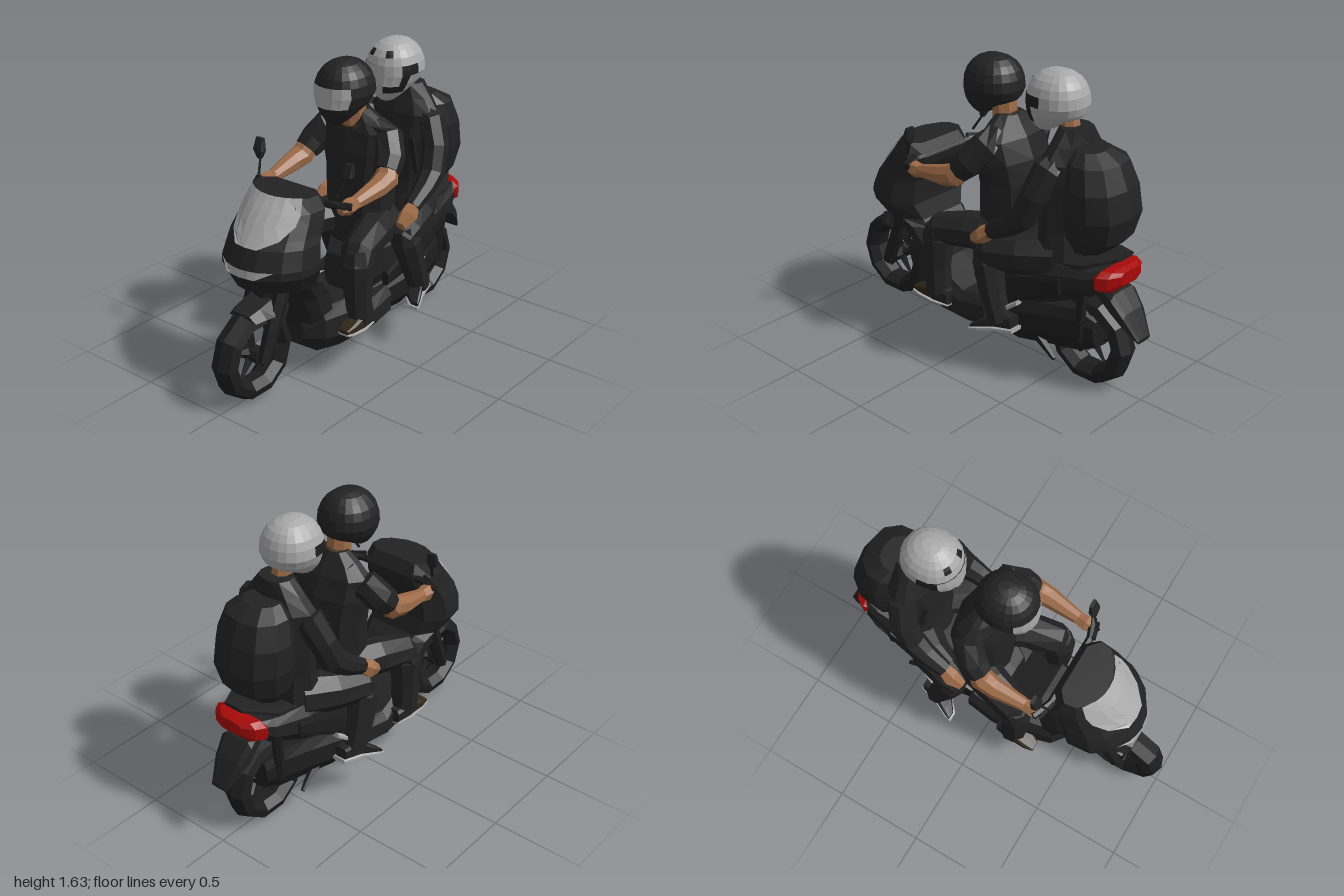
import * as THREE from 'three';

const V = (x, y, z) => new THREE.Vector3(x, y, z);
const paint = (name, color) => Object.assign(new THREE.MeshStandardMaterial({ color }), { name });

export function createModel() {
  const root = new THREE.Group();
  const black = paint('black', 0x222222), dark = paint('darkRubber', 0x1d1d1d);
  const skin = paint('skin', 0x9c6a47), grey = paint('lightGrey', 0xa8a8a8);
  const red = paint('tailRed', 0xa80808), brown = paint('darkBrown', 0x30261a);

  // faceted mesh
  const add = (name, geo, mat, parent = root) => {
    const g = geo.index ? geo.toNonIndexed() : geo;
    g.computeVertexNormals();
    const m = new THREE.Mesh(g, mat);
    m.name = name;
    parent.add(m);
    return m;
  };

  // closed skin over a list of rings, always facing outward
  const loft = rings => {
    const n = rings[0].length, pts = rings.flat(), idx = [];
    for (let r = 0; r + 1 < rings.length; r++) for (let i = 0; i < n; i++) {
      const a = r * n + i, b = r * n + (i + 1) % n;
      idx.push(a, b, a + n, b, b + n, a + n);
    }
    [0, rings.length - 1].forEach((r, k) => {
      const c = pts.length;
      pts.push(rings[r].reduce((s, p) => s.add(p), V(0, 0, 0)).divideScalar(n));
      for (let i = 0; i < n; i++) {
        const a = r * n + i, b = r * n + (i + 1) % n;
        k ? idx.push(c, a, b) : idx.push(c, b, a);
      }
    });
    let vol = 0;
    for (let i = 0; i < idx.length; i += 3)
      vol += pts[idx[i]].dot(V(0, 0, 0).crossVectors(pts[idx[i + 1]], pts[idx[i + 2]]));
    if (vol < 0) idx.reverse();
    const g = new THREE.BufferGeometry().setFromPoints(pts);
    g.setIndex(idx);
    return g;
  };

  // half outlines, mirrored into full rings
  const whole = h => [...h, ...h.slice(1, -1).reverse().map(([u, v]) => [-u, v])];
  const ROUND = whole([[0, 1], [.6, .82], [.95, .4], [1, -.1], [.75, -.75], [0, -1]]);
  const BOXY = whole([[0, 1], [.75, .95], [1, .55], [1, -.55], [.75, -.95], [0, -1]]);
  const HULL = whole([[0, 1], [.85, .95], [1, .5], [1, -.3], [.68, -.95], [0, -1]]);
  const PACK = whole([[0, 1], [.8, 1], [1, .5], [.95, -.2], [.62, -.82], [0, -1]]);
  const FRONT = [[0, 1], [.32, .94], [.74, .58], [.96, .15], [1, -.5], [.7, -1], [0, -1]];

  // sections are [position, low, high, halfWidth, centreX]
  const stack = (axis, secs, tpl) => loft(secs.map(([t, lo, hi, w, cx = 0]) => tpl.map(([u, v]) => {
    const x = cx + u * w, q = (lo + hi) / 2 + v * (hi - lo) / 2;
    return axis === 'y' ? V(x, t, q) : V(x, q, t);
  })));

  // limb along points [x, y, z, radius]
  const limb = (path, s = 1, n = 8) => {
    const p = path.map(([x, y, z]) => V(x * s, y, z));
    return loft(p.map((c, i) => {
      const d = p[Math.min(i + 1, p.length - 1)].clone().sub(p[Math.max(i - 1, 0)]).normalize();
      const a = V(0, 0, 0).crossVectors(d, Math.abs(d.x) > .9 ? V(0, 1, 0) : V(1, 0, 0)).normalize();
      const b = V(0, 0, 0).crossVectors(d, a);
      return Array.from({ length: n }, (_, k) => {
        const t = k / n * Math.PI * 2 + .3;
        return c.clone().addScaledVector(a, Math.cos(t) * path[i][3]).addScaledVector(b, Math.sin(t) * path[i][3]);
      });
    }));
  };

  // front fairing with windscreen and headlight laid on its surface
  const fair = [[.28, .25, .46, .18], [.5, .3, .57, .19], [.585, .36, .64, .2], [.62, .4, .78, .21],
    [.71, .43, .825, .265], [.752, .43, .82, .265], [.85, .42, .775, .25], [.89, .4, .745, .24],
    [.95, .37, .7, .23], [1, .36, .66, .22], [1.07, .4, .595, .19]];
  add('frontFairing', stack('y', fair, whole(FRONT)), black);
  const strip = rows => {
    const cols = [-1, -.6, -.3, 0, .3, .6, 1], n = cols.length, pts = [], idx = [];
    rows.forEach(([k, hw], r) => {
      const [y, lo, hi, w] = fair[k];
      cols.forEach((c, i) => {
        const u = Math.abs(c) * hw / w;
        const j = FRONT.findIndex((p, q) => q && p[0] >= u), [u0, v0] = FRONT[j - 1], [u1, v1] = FRONT[j];
        const v = v0 + (v1 - v0) * (u - u0) / (u1 - u0);
        pts.push(V(c * hw, y + .004, (lo + hi) / 2 + v * (hi - lo) / 2 + .009));
        const a = r * n + i;
        if (r + 1 < rows.length && i + 1 < n) idx.push(a, a + 1, a + n, a + 1, a + n + 1, a + n);
      });
    });
    const g = new THREE.BufferGeometry().setFromPoints(pts);
    g.setIndex(idx);
    return g;
  };
  add('windscreen', strip([[6, .07], [7, .15], [8, .186], [9, .186], [10, .165]]), grey);
  add('headlight', strip([[4, .09], [5, .17]]), grey);

  // scooter body
  add('footboard', stack('z', [[.47, .2, .33, .1], [.4, .15, .42, .19], [.25, .13, .43, .23], [.05, .13, .34, .24],
    [-.12, .14, .36, .22]], HULL), black);
  add('seatAndTail', stack('z', [[.06, .3, .54, .1], [-.08, .3, .66, .17], [-.3, .36, .68, .22], [-.55, .46, .7, .21],
    [-.75, .55, .71, .17], [-.81, .61, .72, .15]], HULL), black);
  add('engineCase', stack('z', [[-.05, .15, .36, .17], [-.3, .15, .41, .21], [-.5, .18, .44, .17], [-.66, .2, .46, .14],
    [-.76, .24, .4, .1]], HULL), dark);
  add('tailSpoiler', stack('z', [[-.58, .67, .71, .16], [-.72, .7, .74, .16], [-.87, .765, .785, .06]], BOXY), black);
  add('tailLight', stack('z', [[-.785, .625, .705, .15], [-.815, .605, .725, .165], [-.865, .61, .725, .135], [-.9, .645, .715, .07]], BOXY), red);
  add('tailLightBase', stack('z', [[-.74, .56, .62, .09], [-.85, .55, .615, .06]], BOXY), brown);
  add('rearMudguard', stack('z', [[-.74, .52, .62, .06], [-.86, .47, .59, .1], [-.93, .41, .5, .085], [-1, .35, .37, .05]], BOXY), black);

  // wheels
  [['frontWheel', .752, .258], ['rearWheel', -.68, .248]].forEach(([name, z, y]) => {
    const w = new THREE.Group();
    w.name = name;
    w.position.set(0, y, z);
    root.add(w);
    add('tyre', new THREE.TorusGeometry(.196, .055, 7, 10).rotateY(Math.PI / 2).scale(1.4, 1, 1), dark, w);
    add('hub', new THREE.CylinderGeometry(.045, .045, .13, 8).rotateZ(Math.PI / 2), dark, w);
    for (let i = 0; i < 5; i++)
      add('spoke', new THREE.CylinderGeometry(.006, .028, .13, 4).translate(0, .09, 0).rotateX(i * Math.PI * .4), dark, w);
  });
  // mudguard as a solid arc over the tyre
  add('frontFender', loft([134, 119, 104, 89, 74].map((deg, i) => {
    const t = deg * Math.PI / 180, w = [.09, .11, .115, .11, .09][i], lift = [.09, .06, .03, 0, -.012][i];
    return [[-w, .225], [-w * .6, .272 + lift], [w * .6, .272 + lift], [w, .225], [w * .6, .255], [-w * .6, .255]]
      .map(([x, r]) => V(x, .255 + r * Math.sin(t), .75 + r * Math.cos(t)));
  })), black);
  add('steeringColumn', limb([[0, .48, .62, .08], [0, .66, .58, .1]]), dark);
  add('handlebar', limb([[-.31, 1, .34, .02], [-.2, 1, .38, .02], [.2, 1, .38, .02], [.31, 1, .34, .02]], 1, 6), dark);

  // mirrored scooter and body parts
  for (const s of [1, -1]) {
    const side = s > 0 ? 'left' : 'right';
    const part = (name, geo, mat) => add(side + name, geo, mat);
    const foot = (secs) => stack('z', secs.map(([z, lo, hi, w, x]) => [z, lo, hi, w, x * s]), BOXY);
    part('Fork', limb([[.085, .23, .76, .035], [.085, .4, .69, .042], [.085, .62, .6, .045]], s, 6), dark);
    part('Shock', limb([[.12, .28, -.68, .025], [.13, .58, -.71, .03]], s, 6), dark);
    part('BrakeLever', limb([[.2, 1.02, .4, .012], [.3, 1, .375, .01]], s, 5), dark);
    part('MirrorStem', limb([[.25, 1.04, .4, .008], [.28, 1.13, .35, .006]], s, 5), dark);
    part('Mirror', stack('y', [[1.12, .34, .365, .012, .28 * s], [1.16, .325, .365, .035, .29 * s], [1.22, .32, .34, .025, .295 * s]], BOXY), black);
    part('SidePanel', foot([[-.1, .36, .44, .02, .19], [-.35, .42, .58, .03, .21], [-.62, .55, .64, .02, .19]]), dark);
    part('Footpeg', foot([[-.31, .37, .4, .025, .25], [-.38, .42, .45, .02, .235]]), grey);
    part('Stand', limb([[.13, .22, -.42, .03], [.16, .14, -.56, .012]], s, 5), dark);

    // driver limbs
    part('DriverThigh', limb([[.1, .7, -.18, .12], [.18, .7, .02, .1], [.225, .67, .18, .09], [.235, .6, .2, .088]], s), black);
    part('DriverShin', limb([[.235, .7, .2, .06], [.235, .62, .195, .088], [.24, .46, .2, .075], [.24, .3, .19, .075]], s), black);
    part('DriverShoeHeel', foot([[.1, .25, .33, .05, .23], [.2, .255, .36, .06, .24]]), black);
    part('DriverShoeToe', foot([[.2, .255, .35, .058, .24], [.29, .265, .315, .05, .25], [.34, .275, .295, .03, .26]]), brown);
    part('DriverSole', foot([[.1, .243, .251, .045, .23], [.2, .247, .256, .057, .24], [.29, .256, .266, .05, .25], [.34, .264, .276, .035, .26]]), grey);
    part('DriverSleeve', limb([[.11, 1.24, -.11, .07], [.195, 1.205, -.11, .08], [.25, 1.12, -.05, .08], [.265, 1.07, 0, .07]], s), black);
    part('DriverForearm', limb([[.26, 1.11, -.03, .05], [.28, 1.04, .02, .064], [.285, 1.02, .1, .055], [.275, .99, .27, .035]], s), skin);
    part('DriverHand', limb([[.275, .99, .26, .035], [.272, .985, .32, .045], [.265, .98, .375, .025]], s, 6), skin);

    // passenger limbs
    part('PassengerThigh', limb([[.1, .7, -.5, .12], [.2, .69, -.35, .105], [.25, .67, -.2, .092], [.255, .63, -.15, .07]], s), black);
    part('PassengerShin', limb([[.25, .7, -.17, .06], [.26, .61, -.19, .085], [.275, .46, -.235, .072], [.28, .31, -.29, .06]], s), black);
    part('PassengerShoe', foot([[-.37, .29, .36, .035, .26], [-.27, .275, .37, .045, .275], [-.2, .268, .31, .045, .31], [-.16, .26, .28, .025, .345]]), black);
    part('PassengerSole', foot([[-.38, .27, .297, .04, .255], [-.27, .257, .284, .05, .275], [-.2, .25, .27, .05, .31], [-.15, .243, .26, .03, .345]]), grey);
    part('PassengerArm', limb([[.1, 1.22, -.52, .065], [.18, 1.185, -.51, .076], [.235, 1.06, -.475, .073], [.255, .93, -.42, .07],
      [.265, .87, -.34, .06], [.27, .8, -.22, .045]], s), black);
    part('PassengerHand', limb([[.27, .81, -.235, .036], [.28, .765, -.175, .052], [.28, .73, -.11, .03]], s, 6), skin);
    part('BackpackStrap', limb([[.11, 1.24, -.6, .022], [.12, 1.27, -.5, .022], [.12, 1.1, -.41, .022], [.14, .9, -.44, .02]], s, 5), dark);
  }

  // driver torso
  add('driverTorso', stack('y', [[.6, -.3, .02, .19], [.8, -.28, .03, .19], [1, -.285, .025, .2], [1.12, -.265, .02, .22],
    [1.23, -.22, -.005, .22], [1.29, -.18, -.025, .15], [1.34, -.15, -.05, .075]], ROUND), black);
  add('driverCollar', new THREE.TorusGeometry(.08, .014, 5, 12).rotateX(Math.PI / 2 + .6).translate(0, 1.29, -.075), brown);
  add('driverNeck', limb([[0, 1.26, -.075, .07], [0, 1.42, -.06, .066]]), skin);

  // passenger torso and backpack
  add('passengerTorso', stack('y', [[.62, -.64, -.34, .2], [.85, -.62, -.39, .19], [1.08, -.64, -.39, .2], [1.22, -.63, -.41, .21],
    [1.3, -.62, -.44, .15], [1.375, -.61, -.46, .09]], ROUND), black);
  add('passengerNeck', limb([[0, 1.28, -.52, .055], [0, 1.42, -.48, .055]]), skin);
  add('backpack', stack('y', [[.77, -.76, -.62, .13], [.85, -.85, -.6, .18], [.98, -.885, -.6, .21], [1.12, -.86, -.6, .205],
    [1.24, -.81, -.59, .17], [1.29, -.72, -.59, .1]], PACK), black);

  // helmets: one shaping rule shared by the shell and its thin face pieces
  const D = Math.PI / 180, box = v => Math.sign(v) * Math.abs(v) ** .86;
  const helmetPiece = (grow, phi = [0, 20], theta = [0, 12]) => {
    const g = new THREE.SphereGeometry(1, phi[1] - phi[0], theta[1] - theta[0], phi[0] * 18 * D,
      (phi[1] - phi[0]) * 18 * D, theta[0] * 15 * D, (theta[1] - theta[0]) * 15 * D);
    const p = g.attributes.position;
    for (let i = 0; i < p.count; i++) {
      const y = box(p.getY(i)), z = box(p.getZ(i)), low = Math.max(0, -y), back = Math.max(0, .3 - z);
      p.setXYZ(i, p.getX(i) * .15 * grow * (1 - .38 * low), y * (1 - .5 * low * back) * .17 * grow,
        (z * .162 + low * .03) * grow);
    }
    return g;
  };
  const helmet = (name, y, z, tilt, pieces) => {
    const h = new THREE.Group();
    h.name = name;
    h.position.set(0, y, z);
    h.rotation.x = tilt;
    root.add(h);
    pieces.forEach(([n, mat, ...a]) => add(n, helmetPiece(...a), mat, h));
  };
  helmet('driverHelmet', 1.455, .005, .03, [['shell', black, 1], ['visor', grey, 1.025, [2, 8], [5, 7]]]);
  helmet('passengerHelmet', 1.47, -.42, .03, [['shell', grey, 1], ['visorFrame', dark, 1.015, [1, 9], [5, 8]],
    ['visorHinge', dark, 1.015, [0, 10], [5, 6]], ['visor', grey, 1.035, [2, 8], [5, 7]],
    ['chinPiece', grey, 1.035, [4, 6], [7, 8]], ['leftVent', dark, 1.02, [6, 7], [3, 4]], ['rightVent', dark, 1.02, [3, 4], [3, 4]]]);

  return root;
}
